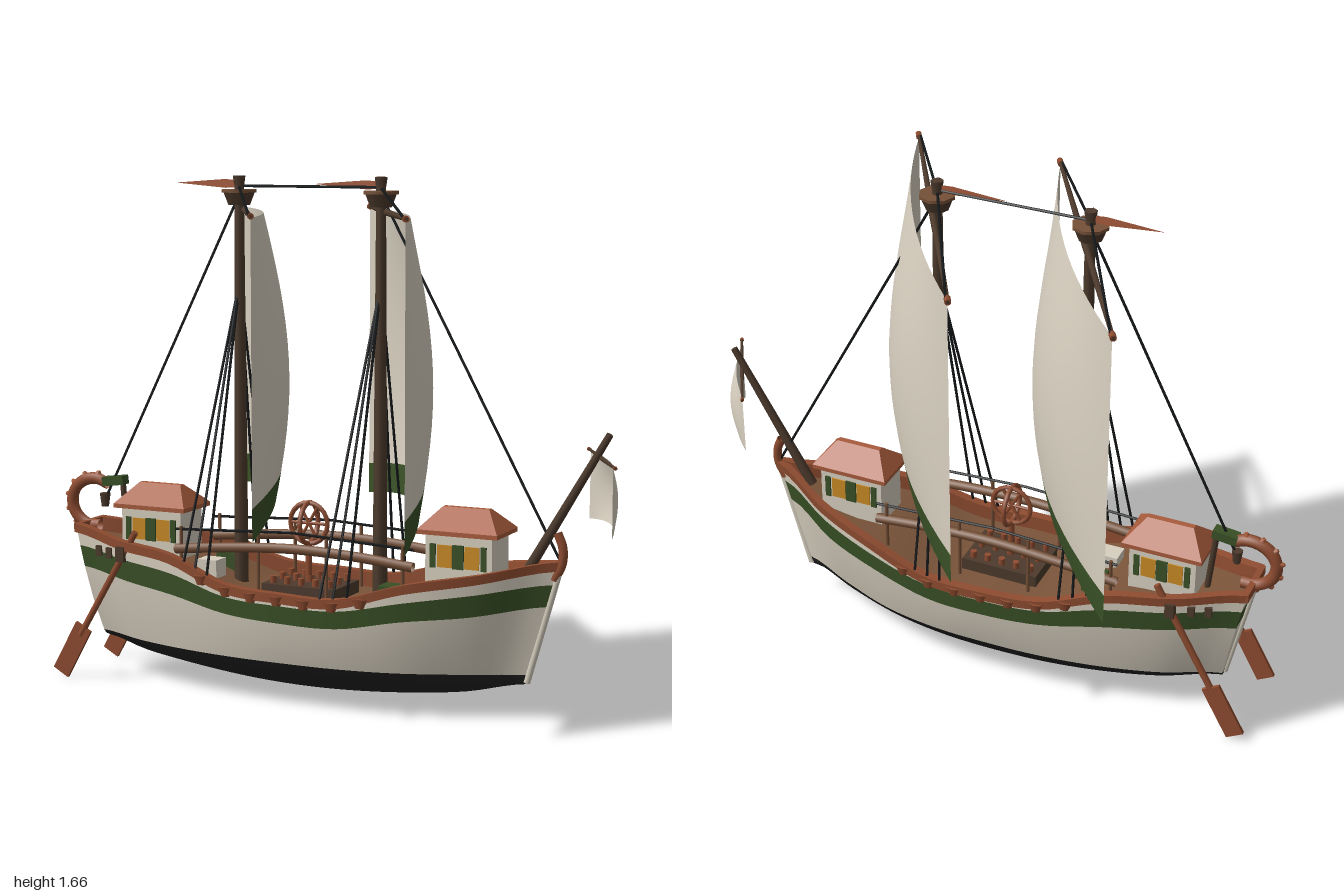
import * as THREE from 'three';

const V = (x, y, z) => new THREE.Vector3(x, y, z);
const mat = (name, color, side = THREE.DoubleSide) => new THREE.MeshStandardMaterial({ name, color, side });

export function createModel() {
  const model = new THREE.Group();
  model.name = 'sailingShip';
  const white = mat('canvas white', 0xd8d0c0), green = mat('dark green', 0x395026), black = mat('tar black', 0x222222),
    red = mat('red brown trim', 0x8e4c30), roofRed = mat('roof tile', 0xa85c3c), deckWood = mat('deck wood', 0x7a543a),
    dark = mat('dark wood', 0x4c3a2c), spar = mat('spar wood', 0x765037), amber = mat('amber window', 0xc98a24), rope = mat('rope', 0x15181a);

  const add = (name, geo, m, x = 0, y = 0, z = 0) => {
    const mesh = new THREE.Mesh(geo, m);
    mesh.name = name;
    mesh.position.set(x, y, z);
    model.add(mesh);
    return mesh;
  };
  const box = (name, m, w, h, d, x, y, z) => add(name, new THREE.BoxGeometry(w, h, d), m, x, y, z);
  // Tapered round bar between two points
  const rod = (name, m, a, b, r1, r2 = r1, sides = 8) => {
    const mesh = add(name, new THREE.CylinderGeometry(r2, r1, a.distanceTo(b), sides), m);
    mesh.position.copy(a).add(b).multiplyScalar(0.5);
    mesh.quaternion.setFromUnitVectors(V(0, 1, 0), b.clone().sub(a).normalize());
    return mesh;
  };
  const line = (a, b) => rod('rope', rope, a, b, 0.0045, 0.0045, 5);
  const tube = (name, m, pts, r, seg = 24) =>
    add(name, new THREE.TubeGeometry(new THREE.CatmullRomCurve3(pts), seg, r, 8), m);
  // Surface through rows of points
  const grid = (name, m, rows) => {
    const n = rows[0].length, index = [];
    for (let i = 0; i < rows.length - 1; i++) for (let j = 0; j < n - 1; j++) {
      const a = i * n + j;
      index.push(a, a + 1, a + n, a + 1, a + n + 1, a + n);
    }
    const geo = new THREE.BufferGeometry().setFromPoints(rows.flat());
    geo.setIndex(index);
    geo.computeVertexNormals();
    return add(name, geo, m);
  };

  // Hull curves, sampled evenly from stern (0) to bow (1)
  const curve = (...v) => {
    const c = new THREE.SplineCurve(v.map((y, i) => new THREE.Vector2(i / (v.length - 1), y)));
    return s => c.getPoint(s).y;
  };
  const beam = curve(0.08, 0.15, 0.195, 0.222, 0.235, 0.228, 0.198, 0.125, 0.008);
  const waterBeam = curve(0.035, 0.115, 0.165, 0.192, 0.2, 0.195, 0.162, 0.09, 0.005);
  const sheer = curve(0.505, 0.475, 0.455, 0.385, 0.372, 0.372, 0.43, 0.465, 0.505);
  const bandTop = curve(0.435, 0.415, 0.395, 0.345, 0.336, 0.336, 0.375, 0.405, 0.435);
  const bandLow = curve(0.365, 0.345, 0.325, 0.29, 0.28, 0.28, 0.315, 0.335, 0.365);
  const keel = curve(0.12, 0.075, 0.048, 0.031, 0.025, 0.03, 0.045, 0.07, 0.115);
  const hullX = (s, y) => {
    const k = (y - 0.12) / 0.385;
    return THREE.MathUtils.lerp(-0.83 - 0.08 * k, 0.66 + 0.105 * k, s);
  };
  const mix = (k, f, g) => s => f(s) + (g(s) - f(s)) * k;
  const wl = () => 0.145;
  const levels = {
    keel: [keel, () => 0],
    bilge: [mix(0.45, keel, wl), s => waterBeam(s) * 0.72],
    water: [wl, waterBeam],
    side: [mix(0.5, wl, bandLow), mix(0.62, waterBeam, beam)],
    low: [bandLow, mix(0.93, waterBeam, beam)],
    top: [bandTop, beam],
    sheer: [sheer, beam],
  };
  const N = 40, stations = Array.from({ length: N + 1 }, (_, i) => i / N);
  const at = ([y, w], s, side) => V(hullX(s, y(s)), y(s), side * w(s));
  const bands = [['bottom', black, ['keel', 'bilge', 'water']], ['hullSide', white, ['water', 'side', 'low']],
    ['hullBand', green, ['low', 'top']], ['upperStrake', white, ['top', 'sheer']]];
  for (const [name, m, keys] of bands) {
    for (const side of [1, -1])
      grid(name, m, keys.map(k => stations.map(s => at(levels[k], s, side))));
    grid(name + 'Transom', m, keys.map(k => [at(levels[k], 0, 1), at(levels[k], 0, -1)]));
  }

  // Deck and capping rail
  grid('deck', deckWood, [1, -1].map(q => stations.map(s => at([t => sheer(t) - 0.045, t => Math.max(beam(t) - 0.005, 0)], s, q))));
  for (const q of [1, -1]) {
    const section = [[-0.02, -0.046], [-0.02, 0.004], [0.01, 0.004], [0.01, -0.026], [0, -0.026]];
    for (let i = 0; i < 4; i++)
      grid('rail', red, [section[i], section[i + 1]].map(([dw, dy]) =>
        stations.map(s => at([t => sheer(t) + dy, t => Math.max(beam(t) + dw, 0)], s, q))));
  }
  box('sternRail', red, 0.02, 0.03, 0.17, -0.905, 0.493, 0);
  rod('stemPost', white, V(0.662, 0.12, 0), V(0.763, 0.48, 0), 0.011);
  tube('stemHead', red, [V(0.745, 0.45, 0), V(0.77, 0.5, 0), V(0.772, 0.55, 0), V(0.755, 0.595, 0)], 0.015);
  rod('sternPost', white, V(-0.832, 0.13, 0), V(-0.91, 0.49, 0), 0.01);

  // Half-round fenders along the waist
  for (let i = 0; i < 7; i++) for (const q of [1, -1]) {
    const x = -0.36 + i * 0.093, s = (x + 0.9) / 1.65;
    const f = add('fender', new THREE.CylinderGeometry(0.028, 0.014, 0.03, 8), red, x, sheer(s) - 0.02, q * (beam(s) + 0.004));
    f.scale.z = 0.5;
  }

  // Curled stern ornament with frills, and lantern
  const curl = Array.from({ length: 9 }, (_, i) => {
    const a = -1.35 - i * 0.5;
    return V(-0.885 + 0.088 * Math.cos(a), 0.57 + 0.08 * Math.sin(a), 0);
  });
  tube('sternCurl', red, curl, 0.02, 32);
  for (const p of curl.slice(1)) {
    const out = p.clone().sub(V(-0.885, 0.57, 0)).normalize();
    rod('curlFrill', roofRed, p.clone().addScaledVector(out, 0.012), p.clone().addScaledVector(out, 0.027), 0.013, 0.006, 5);
  }
  box('curlHead', green, 0.08, 0.03, 0.04, -0.805, 0.648, 0).rotation.z = 0.12;
  rod('lanternPost', dark, V(-0.775, 0.64, 0), V(-0.755, 0.43, 0), 0.01);
  add('lantern', new THREE.CylinderGeometry(0.018, 0.012, 0.045, 6), dark, -0.845, 0.58, 0);

  // Deck houses
  const house = x => {
    box('houseWall', white, 0.22, 0.17, 0.14, x, 0.49, 0);
    box('eaves', roofRed, 0.265, 0.014, 0.175, x, 0.58, 0);
    const geo = new THREE.BoxGeometry(0.265, 0.065, 0.175), p = geo.attributes.position;
    for (let i = 0; i < p.count; i++) if (p.getY(i) > 0) p.setXYZ(i, p.getX(i) * 0.58, p.getY(i), p.getZ(i) * 0.12);
    geo.computeVertexNormals();
    add('hippedRoof', geo, roofRed, x, 0.619, 0);
    for (const q of [1, -1]) {
      for (const d of [-0.045, 0.045]) box('window', amber, 0.048, 0.07, 0.006, x + d, 0.507, q * 0.071);
      for (const d of [-0.084, -0.009, 0.009, 0.084]) box('shutter', green, 0.018, 0.075, 0.008, x + d, 0.507, q * 0.072);
    }
  };
  house(-0.627);
  house(0.46);

  // Curved sail hung from a swung yard; belly points forward
  const sail = (name, cx, halfTop, halfLow, top, low, arch, belly, hem) => {
    const point = (u, v, rise) => {
      const h = (halfTop + (halfLow - halfTop) * v) * u, b = belly * (1 - u * u) * (0.42 + 0.58 * Math.sin(Math.PI * v * 0.85));
      const end = low + arch * (1 - u * u) + rise;
      return V(cx + 0.5 * h + 0.87 * b, top + (end - top) * v, 0.87 * h - 0.5 * b);
    };
    const us = Array.from({ length: 17 }, (_, i) => i / 8 - 1);
    const k = 1 - hem / (top - low);
    const rows = (a, b, n) => Array.from({ length: n + 1 }, (_, i) => us.map(u => point(u, a + (b - a) * i / n, 0)));
    grid(name, white, rows(0, k, 14));
    if (hem) grid(name + 'Hem', green, rows(k, 1, 2));
  };
  const yard = (cx, y, half, r) => {
    for (const q of [1, -1]) {
      const end = V(cx + q * half * 0.5, y, q * half * 0.87);
      rod('yard', dark, V(cx, y, 0), end, r, r * 0.55);
      rod('yardTip', red, end.clone().lerp(V(cx, y, 0), 0.05), end, r * 0.9);
    }
  };

  // Masts with tops, pennants, sails and rigging
  for (const x of [-0.33, 0.165]) {
    rod('mast', dark, V(x, 0.32, 0), V(x, 1.66, 0), 0.024, 0.015, 10);
    add('mastCap', new THREE.CylinderGeometry(0.02, 0.016, 0.03, 6), dark, x, 1.645, 0);
    add('crowsNest', new THREE.CylinderGeometry(0.054, 0.036, 0.045, 8), dark, x, 1.59, 0);
    add('nestRim', new THREE.CylinderGeometry(0.058, 0.058, 0.01, 8), spar, x, 1.612, 0);
    const flag = new THREE.Shape([[0, 0.012], [-0.05, 0.016], [-0.23, 0.003], [-0.05, -0.012], [0, -0.01]].map(p => new THREE.Vector2(...p)));
    add('pennant', new THREE.ShapeGeometry(flag), roofRed, x, 1.633, 0);
    const cx = x + 0.018;
    yard(cx, 1.552, 0.57, 0.011);
    sail('sail', cx, 0.55, 0.567, 1.547, 0.585, 0.055, 0.14, 0.1);
    for (const q of [1, -1]) {
      line(V(cx + q * 0.27, 1.555, q * 0.48), V(x, 1.625, 0));
      for (const d of [-0.1, -0.055, -0.01]) {
        const s = (x + d + 0.9) / 1.65;
        line(V(x, 1.33, 0), V(x + d, sheer(s), q * beam(s)));
      }
    }
  }
  line(V(-0.33, 1.628, 0), V(0.165, 1.628, 0));
  line(V(-0.34, 1.58, 0), V(-0.84, 0.59, 0));
  line(V(0.18, 1.58, 0), V(0.77, 0.5, 0));

  // Raked bow spar and its small sail
  rod('bowSpar', dark, V(0.645, 0.445, 0), V(0.915, 0.905, 0), 0.017, 0.011);
  yard(0.89, 0.832, 0.2, 0.007);
  sail('bowSail', 0.89, 0.168, 0.172, 0.828, 0.62, 0.012, 0.045, 0);

  // Steering oars
  for (const q of [1, -1]) {
    const z = q * 0.158;
    rod('oarLoom', red, V(-0.64, 0.51, q * 0.15), V(-0.85, 0.15, z), 0.011);
    box('oarBlade', red, 0.062, 0.185, 0.012, -0.882, 0.098, z).rotation.z = -0.51;
    box('oarBracket', dark, 0.03, 0.05, 0.03, -0.69, 0.435, q * 0.155);
    for (const x of [-0.8, -0.75]) box('quarterPort', dark, 0.022, 0.035, 0.012, x, 0.43, q * beam((x + 0.91) / 1.675));
  }

  // Side gangway spars with hand ropes
  for (const q of [1, -1]) {
    const z = q * 0.13;
    tube('gangwaySpar', spar, [V(-0.5, 0.465, z), V(-0.3, 0.485, z), V(-0.08, 0.498, z), V(0.14, 0.492, z), V(0.335, 0.475, z)], 0.016);
    line(V(-0.5, 0.53, z), V(-0.08, 0.55, z));
    line(V(-0.08, 0.55, z), V(0.335, 0.53, z));
    for (const x of [-0.48, -0.2, 0.04, 0.3]) rod('gangwayPost', spar, V(x, 0.34, z), V(x, 0.54, z), 0.006);
  }

  // Waist hatch with pegs, ring frame and cargo
  box('hatch', dark, 0.26, 0.04, 0.18, -0.08, 0.35, 0);
  for (let i = 0; i < 5; i++) for (const z of [-0.065, 0, 0.065])
    add('hatchPeg', new THREE.CylinderGeometry(0.011, 0.011, 0.025, 8), red, -0.18 + i * 0.05, 0.38, z);
  const ring = new THREE.TorusGeometry(0.066, 0.008, 6, 20);
  for (const r of [0, Math.PI / 2]) add('ringFrame', ring, red, -0.085, 0.56, 0).rotation.y = r;
  for (let i = 0; i < 3; i++) {
    const a = i * Math.PI / 3, c = 0.064 * Math.cos(a), d = 0.064 * Math.sin(a);
    rod('ringSpoke', red, V(-0.085 - c, 0.56 - d, 0), V(-0.085 + c, 0.56 + d, 0), 0.005);
  }
  rod('ringPost', red, V(-0.085, 0.35, 0), V(-0.085, 0.5, 0), 0.011);
  box('paleCrate', white, 0.07, 0.06, 0.065, -0.405, 0.4, 0.065);
  box('greenCrate', green, 0.07, 0.06, 0.065, -0.405, 0.4, -0.065);
  box('greenCrate', green, 0.065, 0.06, 0.065, 0.235, 0.37, 0.065);
  return model;
}
